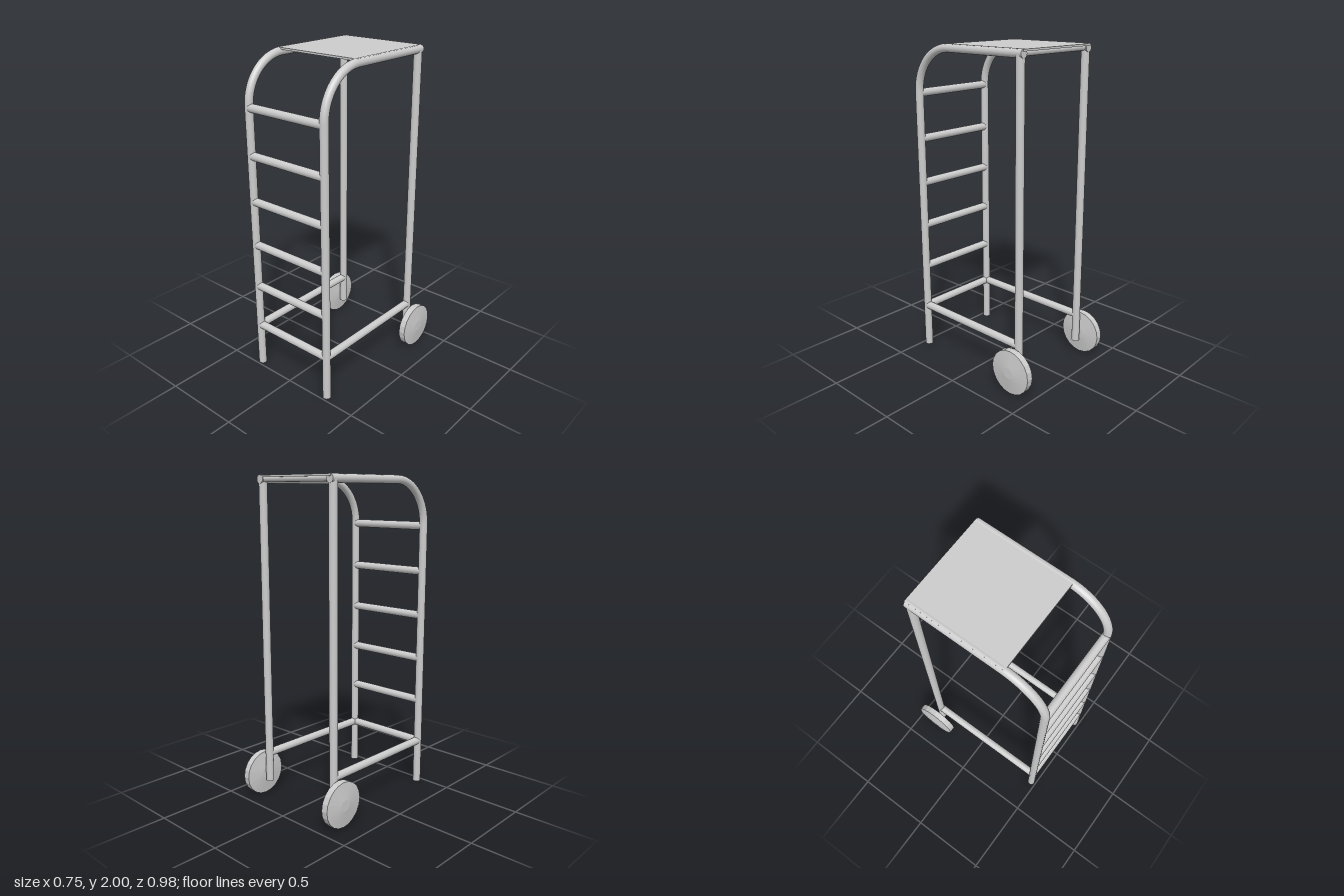
import * as THREE from 'three';

const R = 0.025; // tube radius
const X = 0.28, FRONT = 0.465, BACK = -0.35;
const TOP = 1.973, BEND = 0.27, LOW = 0.285, STEP = 0.282;
const material = new THREE.MeshStandardMaterial({ color: 0xcccccc });

function add(parent, name, geometry) {
  const mesh = new THREE.Mesh(geometry, material);
  mesh.name = name;
  parent.add(mesh);
  return mesh;
}

// Straight capped bar between two points
function bar(parent, name, from, to, radius = R) {
  const a = new THREE.Vector3(...from), b = new THREE.Vector3(...to);
  const dir = b.clone().sub(a);
  const mesh = add(parent, name, new THREE.CylinderGeometry(radius, radius, dir.length(), 20));
  mesh.position.copy(a).add(b).multiplyScalar(0.5);
  mesh.quaternion.setFromUnitVectors(new THREE.Vector3(0, 1, 0), dir.normalize());
  return mesh;
}

// Quarter circle joining the upright to the top rail
class QuarterBend extends THREE.Curve {
  constructor(x) {
    super();
    this.x = x;
  }
  getPoint(t, target = new THREE.Vector3()) {
    const a = t * Math.PI / 2;
    return target.set(this.x, TOP - BEND + BEND * Math.sin(a), FRONT - BEND + BEND * Math.cos(a));
  }
}

function sideFrame(s) {
  const side = new THREE.Group();
  side.name = s > 0 ? 'leftFrame' : 'rightFrame';
  const x = s * X;
  bar(side, 'frontUpright', [x, 0, FRONT], [x, TOP - BEND, FRONT]);
  add(side, 'railBend', new THREE.TubeGeometry(new QuarterBend(x), 20, R, 20));
  bar(side, 'topRail', [x, TOP, FRONT - BEND], [x, TOP, BACK - R]);
  bar(side, 'backUpright', [x, 0.1, BACK], [x, TOP, BACK]);
  bar(side, 'lowerSideBar', [x, LOW, FRONT], [x, LOW, BACK]);

  // Wheel with shallow, slightly coned faces
  const profile = [[0, -0.035], [0.035, -0.035], [0.14, -0.021], [0.14, 0.021], [0.035, 0.035], [0, 0.035]]
    .map(([r, y]) => new THREE.Vector2(r, y));
  const geometry = new THREE.LatheGeometry(profile, 20).toNonIndexed();
  geometry.computeVertexNormals();
  const wheel = add(side, 'wheel', geometry);
  wheel.rotation.z = -Math.PI / 2;
  wheel.position.set(s * 0.342, 0.141, -0.353);
  return side;
}

export function createModel() {
  const model = new THREE.Group();
  model.name = 'platformLadder';
  for (const s of [-1, 1]) model.add(sideFrame(s));

  // Ladder rungs
  for (let i = 0; i < 6; i++) {
    const y = LOW + i * STEP;
    bar(model, 'rung', [-X, y, FRONT], [X, y, FRONT]);
  }

  // Standing platform and the bar under its back edge
  const platform = add(model, 'platform', new THREE.BoxGeometry(2 * X + 0.02, 0.012, 0.6));
  platform.position.set(0, 1.99, -0.08);
  bar(model, 'backCrossbar', [-X, 1.975, BACK], [X, 1.975, BACK], 0.019);

  return model;
}
